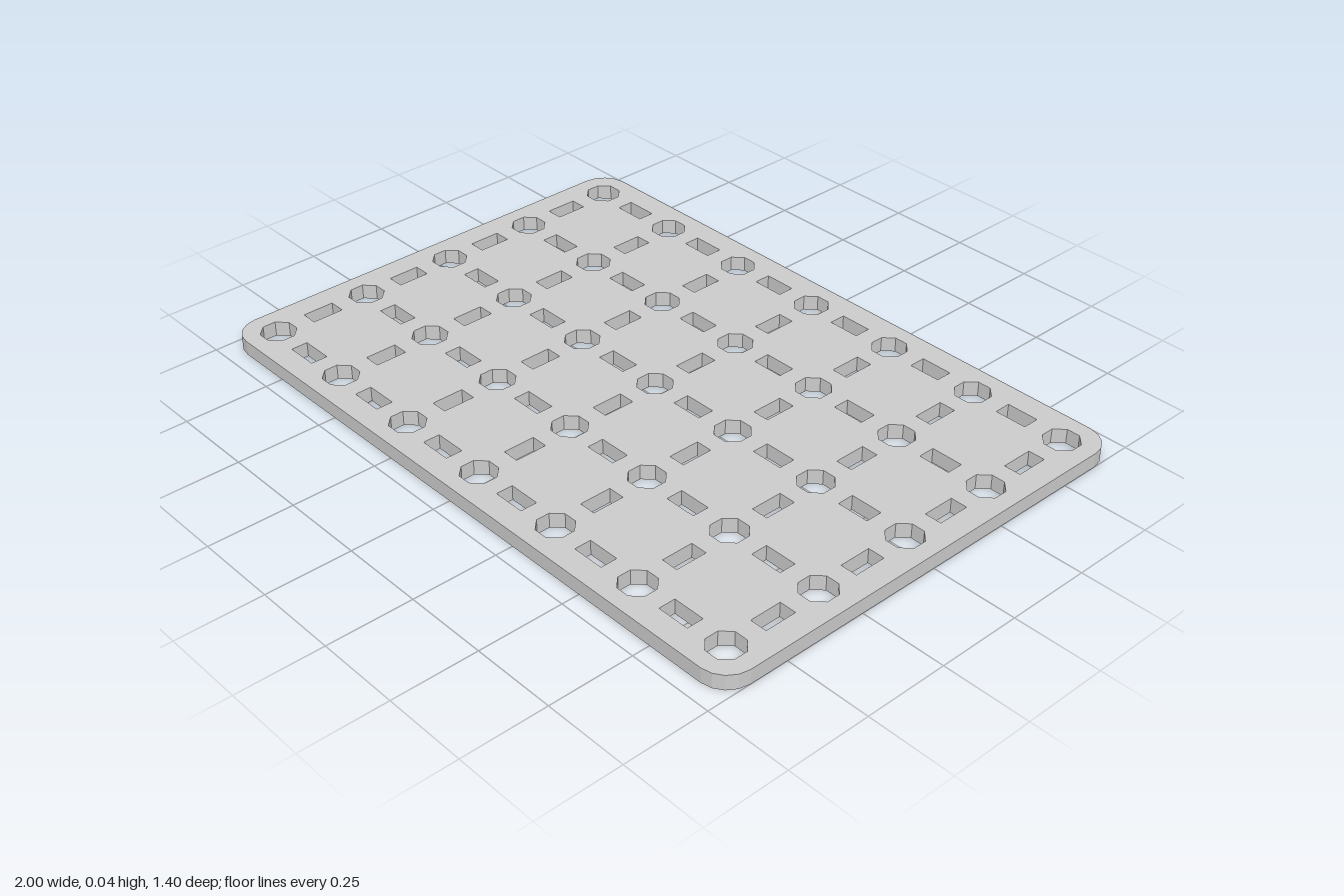
import * as THREE from 'three';

const WIDTH = 2, DEPTH = 1.396, THICKNESS = 0.044, CORNER = 0.08;
const PITCH = 0.301, COLS = 7, ROWS = 5;
const HOLE_RADIUS = 0.052, HOLE_SIDES = 8;
const SLOT_LONG = 0.096, SLOT_SHORT = 0.05;

// Rounded rectangle outline with faceted corners
function plateOutline() {
  const points = [];
  const steps = 4;
  const corners = [[1, 1], [-1, 1], [-1, -1], [1, -1]];
  corners.forEach(([sx, sy], quarter) => {
    for (let i = 0; i <= steps; i++) {
      const a = (quarter + i / steps) * Math.PI / 2;
      points.push(new THREE.Vector2(
        sx * (WIDTH / 2 - CORNER) + CORNER * Math.cos(a),
        sy * (DEPTH / 2 - CORNER) + CORNER * Math.sin(a)));
    }
  });
  return new THREE.Shape(points);
}

// Octagonal hole with flats facing the plate edges
function roundHole(x, y) {
  const points = [];
  for (let i = 0; i < HOLE_SIDES; i++) {
    const a = -(i + 0.5) / HOLE_SIDES * Math.PI * 2;
    points.push(new THREE.Vector2(x + HOLE_RADIUS * Math.cos(a), y + HOLE_RADIUS * Math.sin(a)));
  }
  return new THREE.Path(points);
}

// Rectangular slot centred on a point
function slot(x, y, w, h) {
  return new THREE.Path([[-1, -1], [-1, 1], [1, 1], [1, -1]].map(
    ([sx, sy]) => new THREE.Vector2(x + sx * w / 2, y + sy * h / 2)));
}

export function createModel() {
  const group = new THREE.Group();
  group.name = 'perforatedPlate';
  const shape = plateOutline();

  // Grid of holes, with slots midway between neighbours
  for (let c = 0; c < COLS; c++) {
    for (let r = 0; r < ROWS; r++) {
      const x = (c - (COLS - 1) / 2) * PITCH;
      const y = (r - (ROWS - 1) / 2) * PITCH;
      shape.holes.push(roundHole(x, y));
      if (c < COLS - 1) shape.holes.push(slot(x + PITCH / 2, y, SLOT_LONG, SLOT_SHORT));
      if (r < ROWS - 1) shape.holes.push(slot(x, y + PITCH / 2, SLOT_SHORT, SLOT_LONG));
    }
  }

  // Plate laid flat on the ground
  const geometry = new THREE.ExtrudeGeometry(shape, { depth: THICKNESS, bevelEnabled: false, curveSegments: 1 });
  geometry.rotateX(-Math.PI / 2);
  const plate = new THREE.Mesh(geometry, new THREE.MeshStandardMaterial({ color: 0xcccccc, flatShading: true }));
  plate.name = 'plate';
  group.add(plate);
  return group;
}
